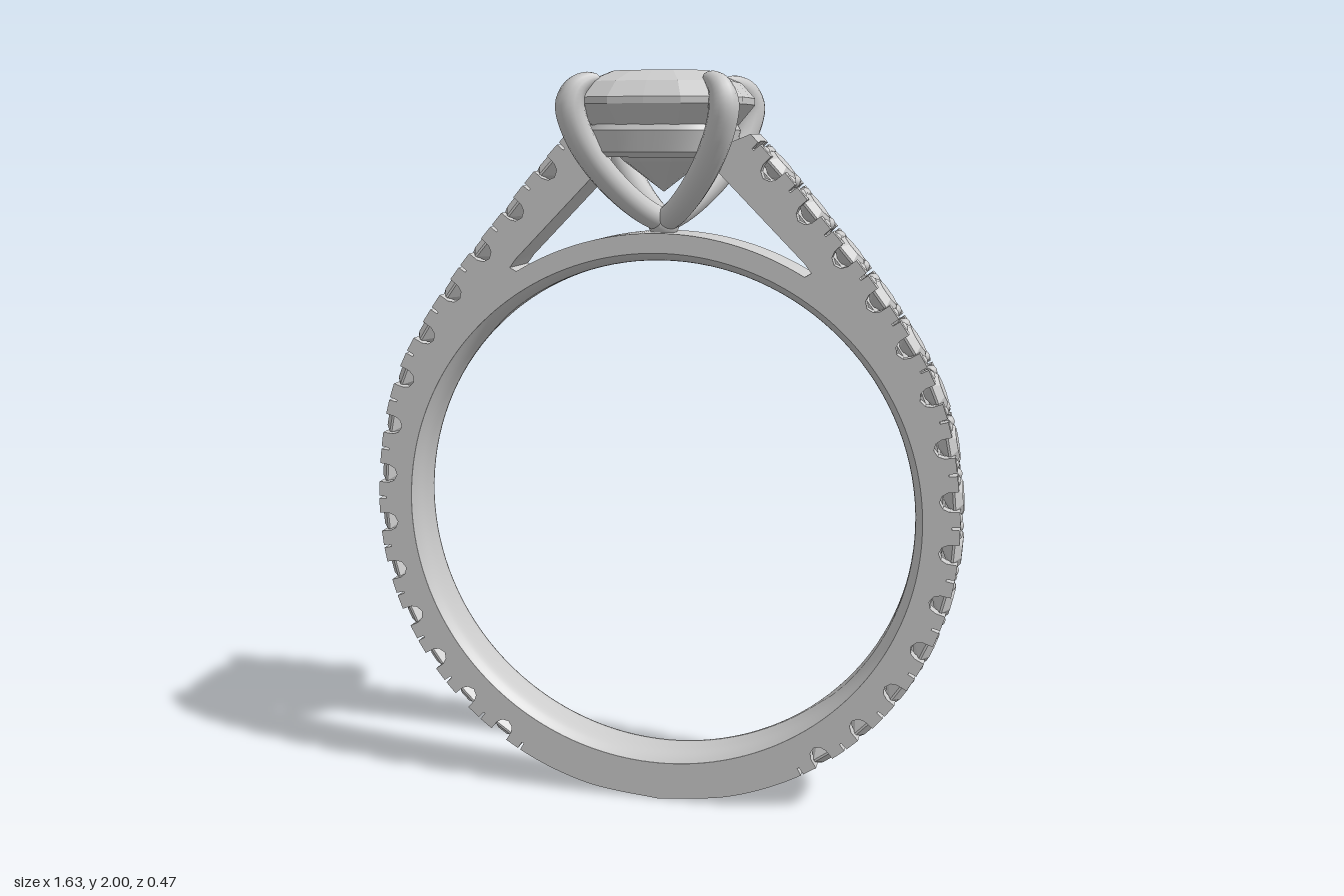
import * as THREE from 'three';
import { toCreasedNormals } from 'three/addons/utils/BufferGeometryUtils.js';

const GEMS = 14, HALF = 0.08, RAIL = 0.042, CY = 0.82;
const V2 = (x, y) => new THREE.Vector2(x, y);
const metal = new THREE.MeshStandardMaterial({ color: 0xcccccc });
const stone = new THREE.MeshStandardMaterial({ color: 0xcccccc, flatShading: true });

// Outer edge of the right half of the shank, from the bottom up to the shoulder tip
const edgePoints = [];
for (let a = -90; a <= 0; a += 15) {
  const t = THREE.MathUtils.degToRad(a);
  edgePoints.push(V2(0.81 * Math.cos(t), 0.81 + 0.81 * Math.sin(t)));
}
edgePoints.push(V2(0.787, 1.04), V2(0.735, 1.205), V2(0.655, 1.345), V2(0.55, 1.49), V2(0.44, 1.62), V2(0.34, 1.738), V2(0.245, 1.84));
const edge = new THREE.SplineCurve(edgePoints);
edge.arcLengthDivisions = 1000;
const length = edge.getLength();
const first = 0.5, last = length - 0.105, step = (last - first) / (GEMS - 1);

// Point at arc length s, sunk below the outer edge by depth
function edgeAt(s, depth) {
  const u = THREE.MathUtils.clamp(s / length, 0, 1);
  const p = edge.getPointAt(u), t = edge.getTangentAt(u);
  const normal = V2(t.y, -t.x);
  return { p: p.addScaledVector(normal, -depth), normal };
}

// Scallop at each stone and a slit between neighbouring claws
const scallop = [[-0.027, 0], [-0.026, 0.028], [-0.018, 0.044], [0, 0.052], [0.018, 0.044], [0.026, 0.028], [0.027, 0]];
const slit = [[-0.004, 0], [-0.003, 0.022], [0.003, 0.022], [0.004, 0]];

function bandShape(isCore) {
  const right = [];
  const add = (s, d) => right.push(edgeAt(s, d).p);
  const start = first - step / 2 - 0.01;
  for (let i = 0; i < 20; i++) add((start * i) / 20, 0);
  if (isCore) {
    add(start, 0);
    for (let i = 0; i <= 60; i++) add(start + 0.005 + ((last + 0.07 - start) * i) / 60, 0.045);
    add(last + 0.08, 0);
  } else {
    for (let g = 0; g < GEMS; g++) {
      const s = first + g * step;
      slit.forEach(([u, d]) => add(s - step / 2 + u, d));
      scallop.forEach(([u, d]) => add(s + u, d));
    }
    slit.forEach(([u, d]) => add(last + step / 2 + u, d));
  }
  add(length, 0);
  // Shoulder tip, inside of the shoulder, then the bridge under the setting
  right.push(V2(0.17, 1.81), V2(0.16, 1.745), V2(0.39, 1.512), V2(0.408, 1.488), V2(0.39, 1.478));
  for (let i = 1; i <= 16; i++) {
    const a = 0.535 * (1 - i / 16);
    right.push(V2(0.765 * Math.sin(a), CY + 0.765 * Math.cos(a)));
  }
  const left = right.slice(1, -1).reverse().map((p) => V2(-p.x, p.y));
  const shape = new THREE.Shape([...right, ...left]);
  shape.holes.push(new THREE.Path().absarc(0, CY, 0.713, 0, Math.PI * 2, true));
  return shape;
}

function bandSlice(name, shape, z0, z1) {
  const geo = new THREE.ExtrudeGeometry(shape, { depth: z1 - z0, bevelEnabled: false, curveSegments: 96 });
  geo.translate(0, 0, z0);
  const mesh = new THREE.Mesh(toCreasedNormals(geo, 0.5), metal);
  mesh.name = name;
  return mesh;
}

// Lofts cushion-shaped sections given as [height, half width]
function cushionLoft(levels, segments, power) {
  const pos = [], index = [];
  for (const [y, r] of levels) {
    for (let i = 0; i < segments; i++) {
      const t = (i / segments) * Math.PI * 2, c = Math.cos(t), s = Math.sin(t);
      const k = r / Math.pow(Math.abs(c) ** power + Math.abs(s) ** power, 1 / power);
      pos.push(c * k, y, s * k);
    }
  }
  for (let l = 0; l < levels.length - 1; l++) {
    for (let i = 0; i < segments; i++) {
      const j = (i + 1) % segments;
      const a = l * segments + i, b = l * segments + j;
      index.push(a, a + segments, b, b, a + segments, b + segments);
    }
  }
  const geo = new THREE.BufferGeometry();
  geo.setAttribute('position', new THREE.Float32BufferAttribute(pos, 3));
  geo.setIndex(index);
  geo.computeVertexNormals();
  return geo;
}

// Tube whose radius is scaled along its length by taper(t)
function taperedTube(curve, radius, taper) {
  const n = 48, sides = 14;
  const geo = new THREE.TubeGeometry(curve, n, radius, sides, false);
  const pos = geo.attributes.position, v = new THREE.Vector3();
  for (let i = 0; i <= n; i++) {
    const c = curve.getPointAt(i / n);
    for (let j = 0; j <= sides; j++) {
      const k = i * (sides + 1) + j;
      v.fromBufferAttribute(pos, k).sub(c).multiplyScalar(taper(i / n)).add(c);
      pos.setXYZ(k, v.x, v.y, v.z);
    }
  }
  return geo;
}

// Row of small stones with their claws along one side
function paveRow() {
  const row = new THREE.Group();
  const gemProfile = [[0, -0.05], [0.066, -0.018], [0.066, -0.012], [0.04, 0.007], [0, 0.007]].map(([x, y]) => V2(x, y));
  const gemGeo = new THREE.LatheGeometry(gemProfile, 8, Math.PI / 8);
  const clawGeo = new THREE.SphereGeometry(0.018, 10, 6);
  const up = new THREE.Vector3(0, 1, 0);
  for (let g = 0; g < GEMS; g++) {
    const { p, normal } = edgeAt(first + g * step, 0);
    const gem = new THREE.Mesh(gemGeo, stone);
    gem.name = 'smallStone';
    gem.position.set(p.x, p.y, 0);
    gem.quaternion.setFromUnitVectors(up, new THREE.Vector3(normal.x, normal.y, 0));
    row.add(gem);
    for (const du of [-1, 1]) for (const z of [-1, 1]) {
      const q = edgeAt(first + g * step + du * (step / 2 - 0.022), 0.012).p;
      const claw = new THREE.Mesh(clawGeo, metal);
      claw.name = 'smallClaw';
      claw.position.set(q.x, q.y, z * 0.046);
      row.add(claw);
    }
  }
  return row;
}

export function createModel() {
  const ring = new THREE.Group();
  ring.name = 'ring';

  // Shank: core plus scalloped rails on both faces
  const railShape = bandShape(false);
  ring.add(
    bandSlice('shankCore', bandShape(true), -RAIL, RAIL),
    bandSlice('frontRail', railShape, RAIL, HALF),
    bandSlice('backRail', railShape, -HALF, -RAIL)
  );

  // Rounded inner lining
  const profile = [];
  for (let i = 0; i <= 16; i++) {
    const k = -1 + i / 8;
    profile.push(V2(0.69 + 0.024 * Math.abs(k) ** 3.5, k * HALF));
  }
  const lining = new THREE.Mesh(new THREE.LatheGeometry(profile, 128), metal.clone());
  lining.material.side = THREE.DoubleSide;
  lining.name = 'innerLining';
  lining.rotation.x = Math.PI / 2;
  lining.position.y = CY;
  ring.add(lining);

  // Small stones on both sides
  for (const [name, turn] of [['leftStones', 0], ['rightStones', Math.PI]]) {
    const row = paveRow();
    row.name = name;
    row.rotation.y = turn;
    ring.add(row);
  }

  // Cushion-cut centre stone
  const centre = new THREE.Mesh(cushionLoft([[1.69, 0], [1.77, 0.1], [1.865, 0.19], [1.915, 0.23], [1.932, 0.23],
    [1.972, 0.195], [2, 0.13], [2, 0]], 16, 3.4).toNonIndexed(), stone);
  centre.geometry.computeVertexNormals();
  centre.name = 'centreStone';
  ring.add(centre);

  // Gallery ring below the centre stone
  const gallery = new THREE.Mesh(toCreasedNormals(cushionLoft([[1.785, 0.14], [1.782, 0.17], [1.795, 0.185], [1.85, 0.195],
    [1.865, 0.188], [1.865, 0.15], [1.785, 0.14]], 48, 3.2), 0.6), metal);
  gallery.name = 'galleryRing';
  ring.add(gallery);

  // Four claws rising from the bridge and hooking over the stone
  const path = [[0, 1.612], [0.045, 1.643], [0.1, 1.70], [0.152, 1.775], [0.186, 1.85], [0.198, 1.91], [0.188, 1.95], [0.165, 1.972], [0.135, 1.982]];
  const clawCurve = new THREE.CatmullRomCurve3(path.map(([d, y]) => new THREE.Vector3(d, y, d)));
  const clawGeo = taperedTube(clawCurve, 0.039, (t) => (t < 0.78 ? 0.85 + 0.19 * t : Math.sqrt(Math.max(0, (1 - t) / 0.22))));
  for (let i = 0; i < 4; i++) {
    const claw = new THREE.Mesh(clawGeo, metal);
    claw.name = 'claw';
    claw.rotation.y = (i * Math.PI) / 2;
    ring.add(claw);
  }

  // Joint where the claws meet the bridge
  const base = new THREE.Mesh(new THREE.SphereGeometry(0.042, 16, 10), metal);
  base.name = 'clawBase';
  base.position.y = 1.606;
  ring.add(base);
  return ring;
}
